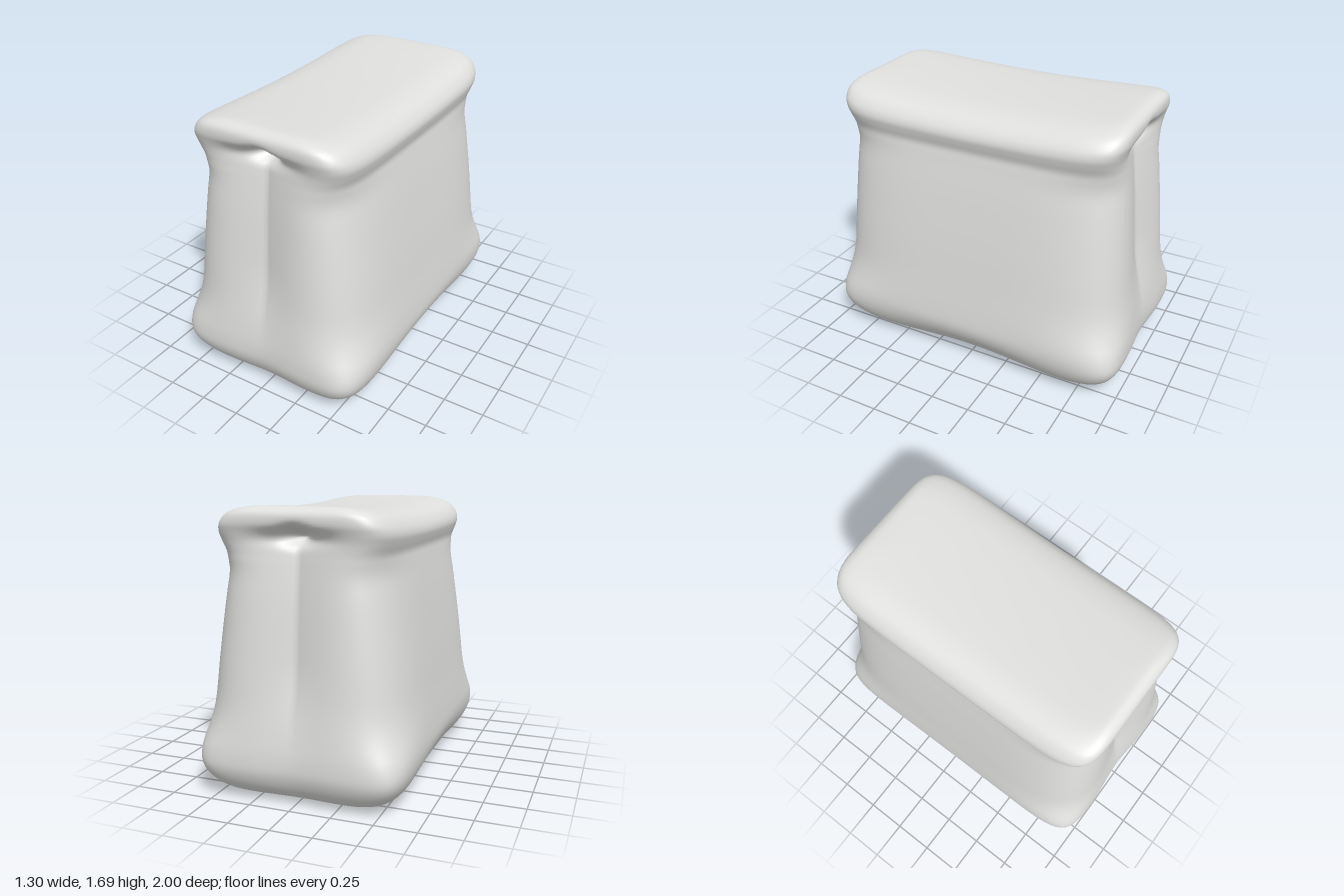
import * as THREE from 'three';
import { mergeVertices } from 'three/addons/utils/BufferGeometryUtils.js';

const { smoothstep } = THREE.MathUtils;
const bump = (v, centre, width) => Math.exp(-(((v - centre) / width) ** 2));

// Half width, height and half depth of the sack, from base to roof
const PROFILE = [
  [0, 0.012, 0.2], [0.25, 0.01, 0.55], [0.44, 0.01, 0.77], [0.51, 0.025, 0.85],
  [0.565, 0.06, 0.915], [0.61, 0.12, 0.965], [0.64, 0.2, 0.997], [0.65, 0.29, 1.0],
  [0.644, 0.4, 0.99], [0.622, 0.6, 0.968], [0.6, 0.8, 0.953], [0.574, 1.0, 0.937],
  [0.545, 1.2, 0.92], [0.515, 1.38, 0.9], [0.508, 1.44, 0.893], [0.522, 1.5, 0.893],
  [0.53, 1.55, 0.902], [0.515, 1.6, 0.915], [0.465, 1.655, 0.912], [0.36, 1.69, 0.875],
  [0.2, 1.702, 0.8], [0, 1.705, 0.6],
];
const SIDE = 48;              // steps along each side of a ring
const AROUND = SIDE * 4;
const RINGS = (PROFILE.length - 1) * 4;

// Point on a unit square, walking from +x towards +z
function squarePoint(j) {
  const s = ((j % SIDE) / SIDE) * 2 - 1;
  return [[1, s], [-s, 1], [-1, -s], [s, -1]][Math.floor(j / SIDE)];
}

// Corners are tight at the base and roof, softer between
function cornerPower(y) {
  return 4.5 + 4.5 * bump(y, 0.19, 0.18) + 4 * smoothstep(y, 1.3, 1.6);
}

// Inward push of the front and back: gusset fold, tuck below the roof and pinch
function endDent(x, y) {
  const ax = Math.abs(x);
  const span = smoothstep(y, 0.25, 0.85) * (1 - smoothstep(y, 1.5, 1.6));
  const fold = span * (0.035 * Math.exp(-ax / 0.08) + 0.04 * bump(x, 0, 0.2));
  const base = 0.022 * bump(x, 0, 0.2) * bump(y, 0.25, 0.3);
  const tuck = 0.02 * bump(y, 1.53, 0.05) * (1 - smoothstep(ax, 0.08, 0.36));
  const pinch = 0.11 * bump(x, 0, 0.075) * bump(y, 1.54, 0.045);
  return fold + base + tuck + pinch;
}

// Inward push of the long sides, where the base edge rounds off between corners
function sideDent(z, y) {
  return 0.06 * bump(z, 0, 0.5) * (1 - smoothstep(y, 0.02, 0.3));
}

function sackGeometry() {
  const curve = new THREE.CatmullRomCurve3(PROFILE.map((p) => new THREE.Vector3(...p)));
  const positions = [];
  const index = [];
  for (let i = 0; i <= RINGS; i++) {
    const { x: hx, y, z: hz } = curve.getPoint(i / RINGS);
    const n = cornerPower(y);
    for (let j = 0; j < AROUND; j++) {
      const [u, v] = squarePoint(j);
      const k = (Math.abs(u) ** n + Math.abs(v) ** n) ** (-1 / n);
      let x = u * k * hx;
      let z = v * k * hz;
      const end = smoothstep(Math.abs(v) * k, 0.7, 0.97);
      z -= Math.sign(z) * end * endDent(x, y);
      const flank = smoothstep(Math.abs(u) * k, 0.7, 0.97) * smoothstep(hx, 0.2, 0.5);
      x -= Math.sign(x) * flank * sideDent(z, y);
      // Saddle of the roof
      const sag = 0.032 * Math.max(0, 1 - (z / 0.85) ** 2) * smoothstep(y, 1.35, 1.66);
      positions.push(x, y - sag, z);
      if (i < RINGS) {
        const a = i * AROUND + j;
        const b = i * AROUND + ((j + 1) % AROUND);
        index.push(a, a + AROUND, b, b, a + AROUND, b + AROUND);
      }
    }
  }
  const geometry = new THREE.BufferGeometry();
  geometry.setAttribute('position', new THREE.Float32BufferAttribute(positions, 3));
  geometry.setIndex(index);
  // Weld the seams where the base and roof close
  const welded = mergeVertices(geometry, 1e-4);
  welded.computeVertexNormals();
  return welded;
}

export function createModel() {
  const group = new THREE.Group();
  group.name = 'foldedBag';
  const paleGrey = new THREE.MeshStandardMaterial({ color: 0xe0e0de });
  paleGrey.name = 'pale grey';
  const body = new THREE.Mesh(sackGeometry(), paleGrey);
  body.name = 'bagBody';
  group.add(body);
  return group;
}
